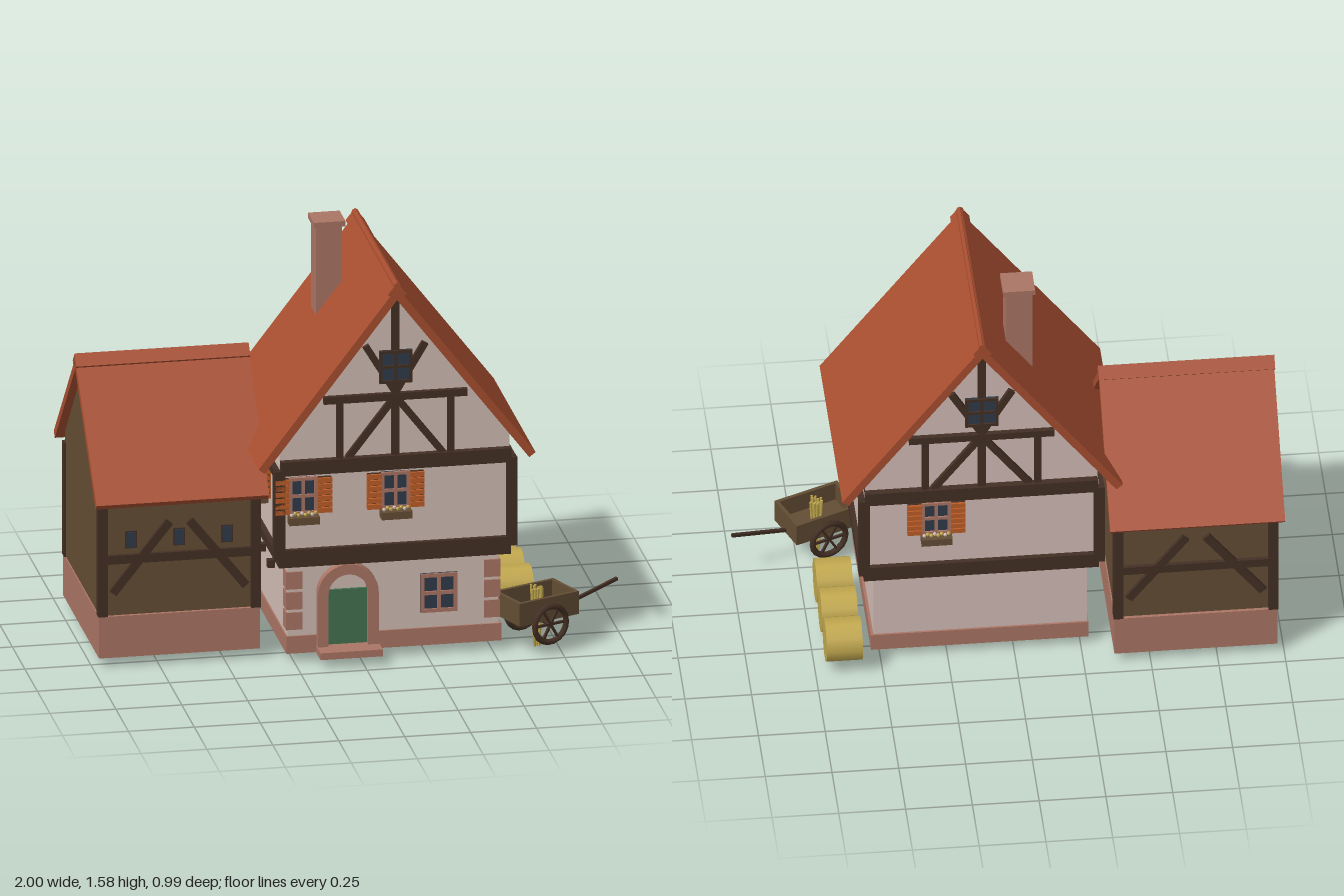
import * as THREE from 'three';

const flat = (name, color, side = THREE.FrontSide) => {
  const m = new THREE.MeshStandardMaterial({ color, side });
  m.name = name;
  return m;
};

export function createModel() {
  const M = {
    roof: flat('roof tile', 0xa84e30), wall: flat('plaster', 0xd2bcb5),
    timber: flat('dark timber', 0x432f24), plank: flat('brown planks', 0x634d34),
    stone: flat('reddish stone', 0xaa7564), shutter: flat('orange shutter', 0xbd5d28),
    glass: flat('window glass', 0x2f3b49), door: flat('green door', 0x437150),
    hay: flat('hay', 0xc2a84e),
  };
  const model = new THREE.Group();
  const group = (name, parent = model) => {
    const g = new THREE.Group();
    g.name = name;
    parent.add(g);
    return g;
  };
  const mesh = (p, name, geo, mat, x = 0, y = 0, z = 0) => {
    const m = new THREE.Mesh(geo, mat);
    m.name = name;
    m.position.set(x, y, z);
    p.add(m);
    return m;
  };
  // Box from its minimum and maximum corners
  const box = (p, name, mat, x0, x1, y0, y1, z0, z1) => mesh(p, name,
    new THREE.BoxGeometry(x1 - x0, y1 - y0, z1 - z0), mat, (x0 + x1) / 2, (y0 + y1) / 2, (z0 + z1) / 2);
  // Slanted timber on a facade
  const beam = (p, x0, y0, x1, y1, w, z, d = 0.025) => {
    const m = mesh(p, 'timber', new THREE.BoxGeometry(Math.hypot(x1 - x0, y1 - y0), w, d), M.timber, (x0 + x1) / 2, (y0 + y1) / 2, z);
    m.rotation.z = Math.atan2(y1 - y0, x1 - x0);
    return m;
  };
  const prism = (pts, depth) => new THREE.ExtrudeGeometry(
    new THREE.Shape(pts.map(([x, y]) => new THREE.Vector2(x, y))), { depth, bevelEnabled: false }).translate(0, 0, -depth / 2);
  // Pitched slab pair running along z
  const chevron = (half, apex, eave, t, len) => {
    const slope = (apex - eave) / half, n = Math.hypot(1, slope);
    const dx = t * slope / n, dy = t / n;
    return prism([[half, eave], [0, apex], [-half, eave], [-half + dx, eave - dy], [0, apex - t * n], [half - dx, eave - dy]], len);
  };

  // Glazed window facing +z with its centre at the origin
  const glazing = (p, w, h, frame, b = 0.012) => {
    box(p, 'glass', M.glass, -w / 2, w / 2, -h / 2, h / 2, 0, 0.008);
    for (const x of [-w / 2 + b / 2, 0, w / 2 - b / 2]) box(p, 'frame bar', frame, x - b / 2, x + b / 2, -h / 2, h / 2, 0, 0.016);
    for (const y of [-h / 2 + b / 2, 0, h / 2 - b / 2]) box(p, 'frame rail', frame, -w / 2, w / 2, y - b / 2, y + b / 2, 0, 0.015);
  };
  const shutteredWindow = (x, z, turn) => {
    const g = group('shutteredWindow');
    g.position.set(x, 0.675, z);
    g.rotation.y = turn;
    glazing(g, 0.108, 0.145, M.stone);
    for (const s of [-1, 1]) {
      const c = s * 0.081;
      box(g, 'shutter back', M.timber, c - 0.026, c + 0.026, -0.07, 0.07, 0, 0.012);
      for (let i = 0; i < 6; i++) {
        const y = -0.059 + i * 0.0236;
        box(g, 'shutter slat', M.shutter, c - 0.027, c + 0.027, y - 0.0095, y + 0.0095, 0, 0.022);
      }
    }
    box(g, 'flowerBox', M.plank, -0.058, 0.058, -0.105, -0.076, 0, 0.045);
    for (let i = 0; i < 8; i++)
      mesh(g, 'flower', new THREE.IcosahedronGeometry(0.008, 0), i % 3 ? M.hay : M.wall, -0.046 + i * 0.013, -0.07 + (i % 2) * 0.006, 0.025);
  };

  // Ground floor
  const ground = group('groundFloor');
  box(ground, 'wall', M.wall, -0.275, 0.525, 0.05, 0.4, -0.31, 0.355);
  box(ground, 'plinth', M.stone, -0.28, 0.535, 0.037, 0.105, -0.318, 0.363);
  for (const s of [-1, 1]) for (let i = 0; i < 3; i++) {
    const a = s < 0 ? -0.281 : 0.47, y = 0.13 + i * 0.08;
    box(ground, 'quoin', M.stone, a, a + 0.062, y, y + 0.068, 0.303, 0.362);
  }
  const win = group('groundWindow', ground);
  win.position.set(0.298, 0.243, 0.355);
  glazing(win, 0.14, 0.152, M.stone, 0.014);

  // Arched doorway
  const entry = group('doorway');
  const arch = new THREE.Shape();
  arch.moveTo(-0.115, 0.06).lineTo(-0.075, 0.06).lineTo(-0.075, 0.27);
  arch.absarc(0, 0.27, 0.075, Math.PI, 0, true);
  arch.lineTo(0.075, 0.06).lineTo(0.115, 0.06).lineTo(0.115, 0.27);
  arch.absarc(0, 0.27, 0.115, 0, Math.PI, false);
  mesh(entry, 'arch', new THREE.ExtrudeGeometry(arch, { depth: 0.04, bevelEnabled: false, curveSegments: 10 }), M.stone, -0.05, 0, 0.35);
  box(entry, 'door', M.door, -0.125, 0.025, 0.065, 0.28, 0.35, 0.366);
  box(entry, 'step', M.stone, -0.168, 0.068, 0.037, 0.064, 0.35, 0.455);

  // Jettied upper floor
  const upper = group('upperFloor');
  box(upper, 'wall', M.wall, -0.313, 0.563, 0.42, 0.8, -0.353, 0.398);
  box(upper, 'floor beam', M.timber, -0.315, 0.565, 0.39, 0.432, -0.355, 0.4);
  for (const x of [-0.315, 0.565]) {
    for (const z of [-0.355, 0.4]) box(upper, 'corner post', M.timber, x - 0.02, x + 0.02, 0.43, 0.778, z - 0.02, z + 0.02);
    for (const [a, b] of [[0.43, 0.462], [0.748, 0.78]]) box(upper, 'side rail', M.timber, x - 0.018, x + 0.018, a, b, -0.36, 0.4);
    for (const z of [0.305, 0.12, -0.07, -0.255]) box(upper, 'joist end', M.timber, x - 0.027, x + 0.001, 0.365, 0.395, z - 0.014, z + 0.014);
  }
  for (const z of [-0.355, 0.4]) {
    box(upper, 'bottom rail', M.timber, -0.315, 0.565, 0.43, 0.465, z - 0.018, z + 0.018);
    box(upper, 'top rail', M.timber, -0.31, 0.562, 0.76, 0.815, z - 0.022, z + 0.022);
  }
  shutteredWindow(-0.225, 0.398, 0);
  shutteredWindow(0.125, 0.398, 0);
  shutteredWindow(0.295, -0.353, Math.PI);
  shutteredWindow(0.563, 0.117, Math.PI / 2);
  shutteredWindow(-0.313, 0.117, -Math.PI / 2);

  // Timbered gables
  const gable = group('gables');
  gable.position.set(0.125, 0, 0.022);
  mesh(gable, 'gable wall', prism([[-0.435, 0.79], [0.435, 0.79], [0.435, 0.875], [0, 1.45], [-0.435, 0.875]], 0.745), M.wall);
  for (const turn of [0, Math.PI]) {
    const g = group('gableTimbers', gable);
    g.rotation.y = turn;
    const z = 0.378;
    beam(g, 0, 0.81, 0, 1.44, 0.03, z);
    beam(g, -0.272, 1.045, 0.272, 1.045, 0.028, z, 0.03);
    for (const s of [-1, 1]) {
      beam(g, s * 0.21, 0.81, s * 0.21, 1.04, 0.026, z);
      beam(g, 0, 1.045, s * 0.18, 0.812, 0.026, z, 0.023);
      beam(g, 0, 1.06, s * 0.113, 1.25, 0.026, z, 0.023);
    }
    const w = group('gableWindow', g);
    w.position.set(0, 1.165, 0.383);
    glazing(w, 0.125, 0.128, M.timber, 0.011);
  }

  // Main roof and chimney
  const roof = group('mainRoof');
  roof.position.set(0.125, 0, 0.022);
  mesh(roof, 'roof slopes', chevron(0.525, 1.485, 0.8, 0.03, 0.835), M.roof);
  mesh(roof, 'ridge cap', chevron(0.036, 1.507, 1.46, 0.022, 0.845), M.roof);
  const ridge = mesh(roof, 'ridge roll', new THREE.CylinderGeometry(0.014, 0.014, 0.845, 8), M.roof, 0, 1.491, 0);
  ridge.rotation.x = Math.PI / 2;
  const chimney = group('chimney');
  box(chimney, 'stack', M.stone, -0.085, 0.015, 1.15, 1.56, -0.173, -0.077);
  box(chimney, 'cap', M.stone, -0.094, 0.026, 1.557, 1.578, -0.185, -0.067);

  // Side barn
  const barn = group('barn');
  barn.position.set(-0.67, 0, -0.075);
  const walls = mesh(barn, 'plank walls', prism([[-0.345, 0.19], [0.345, 0.19], [0.345, 0.69], [0, 1.05], [-0.345, 0.69]], 0.6), M.plank);
  const slopes = mesh(barn, 'roof slopes', chevron(0.427, 1.1, 0.665, 0.03, 0.655), M.roof);
  const cap = mesh(barn, 'ridge cap', chevron(0.036, 1.12, 1.08, 0.022, 0.66), M.roof);
  for (const m of [walls, slopes, cap]) m.rotation.y = Math.PI / 2;
  box(barn, 'plinth', M.stone, -0.305, 0.305, 0.037, 0.2, -0.358, 0.358);
  for (const x of [-0.29, 0.29]) for (const z of [-0.343, 0.343])
    box(barn, 'corner post', M.timber, x - 0.018, x + 0.018, 0.2, 0.65, z - 0.018, z + 0.018);
  for (const turn of [0, Math.PI]) {
    const g = group('barnTimbers', barn);
    g.rotation.y = turn;
    beam(g, -0.29, 0.423, 0.29, 0.423, 0.034, 0.348);
    for (const s of [-1, 1]) beam(g, s * 0.252, 0.29, s * 0.038, 0.56, 0.032, 0.349, 0.022);
    if (turn === 0) for (const x of [-0.182, 0, 0.182]) {
      box(g, 'small window frame', M.timber, x - 0.022, x + 0.022, 0.462, 0.53, 0.34, 0.349);
      box(g, 'small window', M.glass, x - 0.018, x + 0.018, 0.466, 0.526, 0.34, 0.352);
    }
  }

  // Round hay bales
  for (const z of [-0.345, -0.163, 0.018]) {
    const b = mesh(model, 'hayBale', new THREE.CylinderGeometry(0.086, 0.086, 0.135, 10), M.hay, 0.643, 0.12, z);
    b.rotation.z = Math.PI / 2;
  }

  // Hand cart
  const cart = group('cart');
  cart.position.set(0.669, 0, 0.354);
  cart.rotation.y = 0.39;
  box(cart, 'cart floor', M.plank, -0.13, 0.13, 0.13, 0.145, -0.085, 0.085);
  for (const s of [-1, 1]) {
    box(cart, 'cart side', M.plank, -0.132, 0.132, 0.13, 0.22, s * 0.081 - 0.007, s * 0.081 + 0.007);
    box(cart, 'cart end', M.plank, s * 0.125 - 0.007, s * 0.125 + 0.007, 0.13, 0.22, -0.08, 0.08);
    const wheel = group('wheel', cart);
    wheel.position.set(0, 0.118, s * 0.097);
    mesh(wheel, 'rim', new THREE.TorusGeometry(0.07, 0.012, 6, 18), M.timber);
    for (let i = 0; i < 3; i++) {
      const a = i * Math.PI / 3, c = Math.cos(a) * 0.065, d = Math.sin(a) * 0.065;
      beam(wheel, -c, -d, c, d, 0.009, 0, 0.009);
    }
  }
  const axle = mesh(cart, 'axle', new THREE.CylinderGeometry(0.01, 0.01, 0.2, 8), M.timber, 0, 0.118, 0);
  axle.rotation.x = Math.PI / 2;
  beam(cart, 0.12, 0.14, 0.359, 0.2, 0.012, 0, 0.012).name = 'handle';

  // Straw bundle standing in the cart
  const straw = group('strawBundle', cart);
  for (let i = 0; i < 12; i++) {
    const a = i * 2.4, r = 0.006 * Math.sqrt(i);
    const s = mesh(straw, 'straw', new THREE.CylinderGeometry(0.005, 0.005, 0.225, 5), M.hay,
      Math.cos(a) * r, 0.115 + (i % 4) * 0.005, Math.sin(a) * r);
    s.rotation.set(Math.sin(a) * 0.06, 0, -Math.cos(a) * 0.06);
  }
  return model;
}
